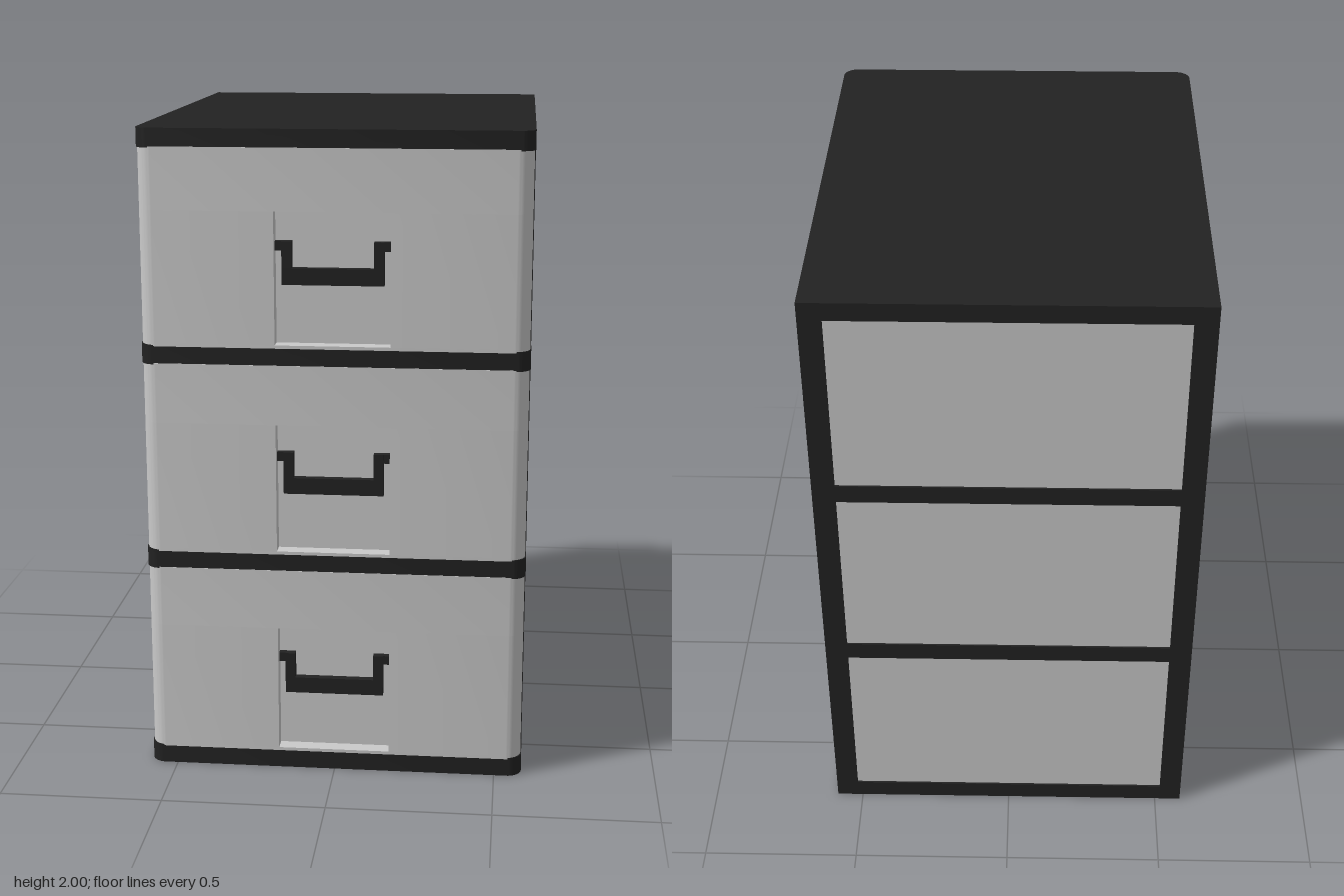
import * as THREE from 'three';
import { toCreasedNormals } from 'three/addons/utils/BufferGeometryUtils.js';

const W = 0.585, D = 0.735;
const SHELF_Y = [0, 0.65, 1.295, 1.942];
const SHELF_H = [0.06, 0.06, 0.06, 0.058];

const dark = new THREE.MeshStandardMaterial({ color: 0x222222 });
dark.name = 'black plastic';
const light = new THREE.MeshStandardMaterial({ color: 0xcacaca });
light.name = 'light grey plastic';

function box(parent, name, mat, x0, x1, y0, y1, z0, z1) {
  const mesh = new THREE.Mesh(new THREE.BoxGeometry(x1 - x0, y1 - y0, z1 - z0), mat);
  mesh.position.set((x0 + x1) / 2, (y0 + y1) / 2, (z0 + z1) / 2);
  mesh.name = name;
  parent.add(mesh);
  return mesh;
}

// Slab with rounded front corners and an optional notch in its front, extruded upwards
function slab(parent, name, mat, w, zBack, zFront, r, y0, y1, notch) {
  const s = new THREE.Shape();
  s.moveTo(w, -zBack);
  s.lineTo(-w, -zBack);
  s.lineTo(-w, -zFront + r);
  s.absarc(-w + r, -zFront + r, r, Math.PI, Math.PI * 1.5, false);
  if (notch) {
    s.lineTo(notch.x0, -zFront);
    s.lineTo(notch.x0, -notch.z);
    s.lineTo(notch.x1, -notch.z);
    s.lineTo(notch.x1, -zFront);
  }
  s.absarc(w - r, -zFront + r, r, Math.PI * 1.5, Math.PI * 2, false);
  s.closePath();
  const geo = new THREE.ExtrudeGeometry(s, { depth: y1 - y0, bevelEnabled: false, curveSegments: 8 });
  geo.rotateX(-Math.PI / 2);
  const mesh = new THREE.Mesh(toCreasedNormals(geo, 0.6), mat);
  mesh.position.y = y0;
  mesh.name = name;
  parent.add(mesh);
}

function createDrawer(y0, y1) {
  const drawer = new THREE.Group();
  drawer.name = 'drawer';

  // Body seen through the side and back openings
  box(drawer, 'drawerBody', light, -0.53, 0.53, y0, y1, -D + 0.006, 0.6);

  // Front panel in three layers, the middle one notched for the handle
  const notch = { x0: -0.175, x1: 0.17, z: 0.69 };
  const lip = y0 + 0.006, top = y0 + 0.405;
  const layer = (a, b, n) => slab(drawer, 'drawerFront', light, 0.582, 0.592, D, 0.05, a, b, n);
  layer(y0 - 0.004, lip);
  layer(lip, top, notch);
  layer(top, y1 + 0.004);

  // U-shaped handle with pivot tabs
  const handle = new THREE.Group();
  handle.name = 'handle';
  const z0 = 0.688, z1 = 0.714;
  box(handle, 'handleBar', dark, -0.155, 0.15, y0 + 0.185, y0 + 0.235, z0, z1);
  for (const s of [-1, 1]) {
    const at = (a, b) => [s * a, s * b].sort((p, q) => p - q).map(v => v - 0.0025);
    box(handle, 'handleArm', dark, ...at(0.122, 0.1525), y0 + 0.235, y0 + 0.315, z0, z1);
    box(handle, 'handleTab', dark, ...at(0.1525, 0.1725), y0 + 0.287, y0 + 0.315, z0, z1 - 0.004);
  }
  drawer.add(handle);
  return drawer;
}

export function createModel() {
  const model = new THREE.Group();
  model.name = 'drawerUnit';

  // Base, two dividers and top
  SHELF_Y.forEach((y, i) => {
    const name = i === 0 ? 'base' : i === 3 ? 'top' : 'divider';
    slab(model, name, dark, W, -D, D - 0.001, 0.045, y, y + SHELF_H[i]);
  });

  for (let i = 0; i < 3; i++) {
    const y0 = SHELF_Y[i] + SHELF_H[i], y1 = SHELF_Y[i + 1];
    model.add(createDrawer(y0, y1));

    // Front and back posts on both sides
    for (const s of [-1, 1]) {
      const outer = s * W, inner = s * 0.515;
      const a = Math.min(outer, inner), b = Math.max(outer, inner);
      box(model, 'frontPost', dark, a, b, y0, y1, 0.48, 0.591);
      box(model, 'backPost', dark, a, b, y0, y1, -D, -0.625);
    }
  }
  return model;
}
